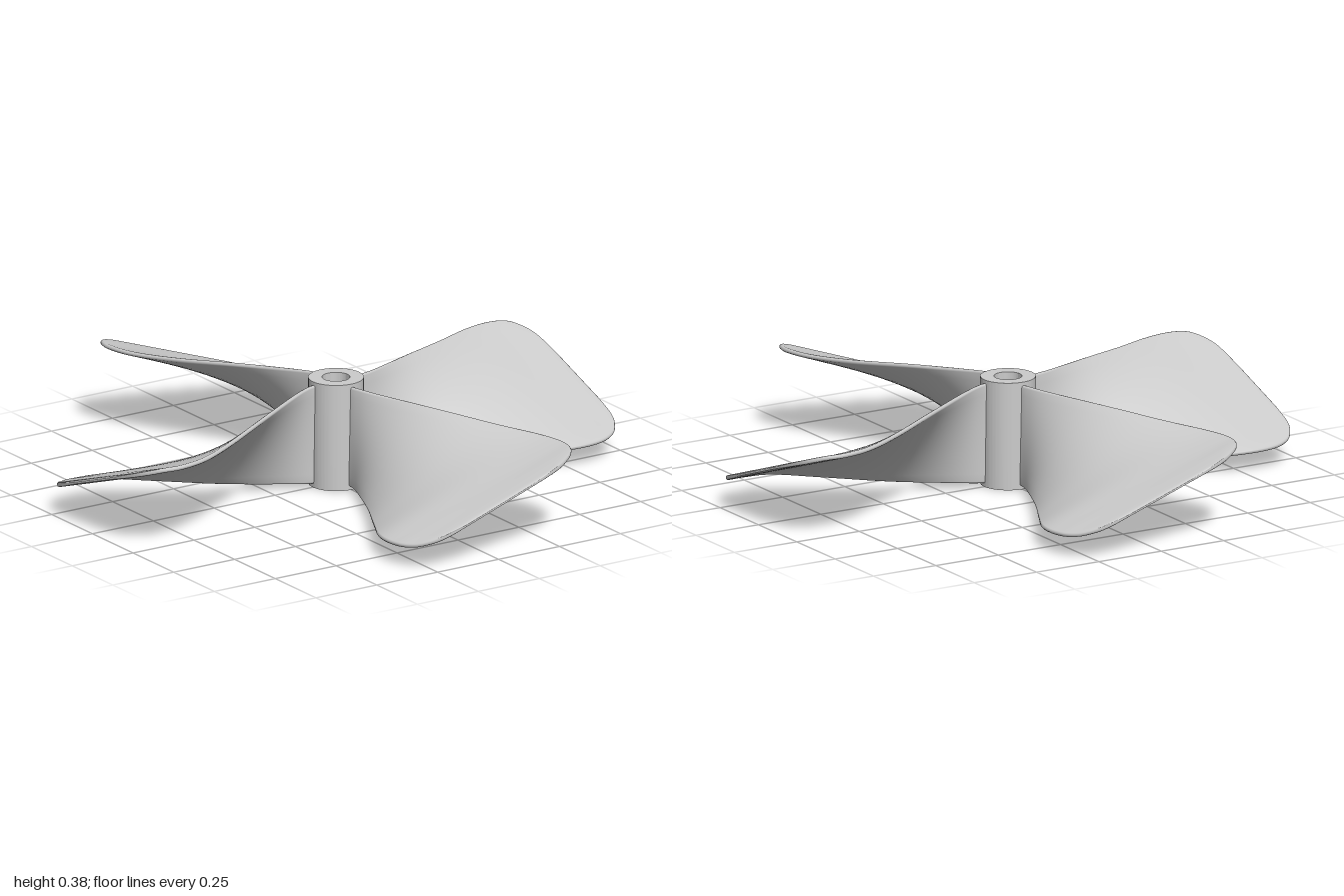
import * as THREE from 'three';
import { toCreasedNormals } from 'three/addons/utils/BufferGeometryUtils.js';

const HUB_R = 0.095, BORE_R = 0.048, HUB_H = 0.38;

// Blade sections: radius, low edge x/y, high edge x/y, half thickness
const SECTIONS = [
  [0.07, 0, 0.012, 0, 0.368, 0.008],
  [0.12, -0.008, 0.014, 0.012, 0.368, 0.008],
  [0.2, -0.04, 0.02, 0.047, 0.362, 0.008],
  [0.4, -0.135, 0.035, 0.155, 0.345, 0.008],
  [0.6, -0.245, 0.055, 0.262, 0.325, 0.008],
  [0.75, -0.322, 0.07, 0.335, 0.317, 0.008],
  [0.86, -0.33, 0.075, 0.36, 0.315, 0.008],
  [0.93, -0.305, 0.083, 0.345, 0.311, 0.008],
  [0.97, -0.262, 0.098, 0.3, 0.295, 0.008],
  [0.99, -0.21, 0.116, 0.24, 0.274, 0.007],
  [1.0, -0.12, 0.148, 0.12, 0.232, 0.003],
];

const curve = (fn) =>
  new THREE.CatmullRomCurve3(SECTIONS.map((s) => new THREE.Vector3(...fn(s))), false, 'catmullrom', 0.5);

// Counterclockwise ring around a flat section with rounded edges
function sectionRing(low, high, t) {
  const span = high.clone().sub(low);
  const angle = Math.atan2(span.y, span.x);
  const half = Math.max(span.length() / 2 - t, t);
  const mid = low.clone().add(high).multiplyScalar(0.5);
  const pts = [];
  for (const side of [1, -1]) {
    const local = [];
    for (let k = 0; k <= 4; k++) {
      const a = -Math.PI / 2 + (k / 4) * Math.PI;
      local.push([half + t * Math.cos(a), t * Math.sin(a)]);
    }
    for (let k = 1; k < 12; k++) local.push([half * (1 - k / 6), t]);
    for (const [u, v] of local) {
      pts.push(new THREE.Vector3(
        mid.x + side * (u * Math.cos(angle) - v * Math.sin(angle)),
        mid.y + side * (u * Math.sin(angle) + v * Math.cos(angle)),
        mid.z));
    }
  }
  return pts;
}

// Twisted blade pointing along +z
function bladeGeometry() {
  const lowEdge = curve((s) => [s[1], s[2], s[0]]);
  const highEdge = curve((s) => [s[3], s[4], s[0]]);
  const thickness = curve((s) => [s[5], 0, s[0]]);
  const steps = 80, pos = [], index = [];
  let n = 0;
  for (let i = 0; i <= steps; i++) {
    const f = i / steps;
    const ring = sectionRing(lowEdge.getPoint(f), highEdge.getPoint(f), thickness.getPoint(f).x);
    n = ring.length;
    ring.forEach((p) => pos.push(p.x, p.y, p.z));
  }
  for (let i = 0; i < steps; i++) {
    for (let j = 0; j < n; j++) {
      const a = i * n + j, b = i * n + ((j + 1) % n);
      index.push(a, b, b + n, a, b + n, a + n);
    }
  }
  // Tip cap
  const last = steps * n;
  for (let j = 1; j < n - 1; j++) index.push(last, last + j, last + j + 1);
  const geo = new THREE.BufferGeometry();
  geo.setAttribute('position', new THREE.Float32BufferAttribute(pos, 3));
  geo.setIndex(index);
  geo.computeVertexNormals();
  return geo;
}

// Bored hub standing on the ground
function hubGeometry() {
  const shape = new THREE.Shape().absarc(0, 0, HUB_R, 0, Math.PI * 2, false);
  shape.holes.push(new THREE.Path().absarc(0, 0, BORE_R, 0, Math.PI * 2, true));
  const geo = new THREE.ExtrudeGeometry(shape, { depth: HUB_H, bevelEnabled: false, curveSegments: 48 });
  geo.rotateX(-Math.PI / 2);
  return toCreasedNormals(geo, 0.6);
}

export function createModel() {
  const model = new THREE.Group();
  model.name = 'propeller';
  const material = new THREE.MeshStandardMaterial({ color: 0xcccccc });

  const hub = new THREE.Mesh(hubGeometry(), material);
  hub.name = 'hub';
  model.add(hub);

  const geo = bladeGeometry();
  ['frontBlade', 'leftBlade', 'backBlade', 'rightBlade'].forEach((name, i) => {
    const blade = new THREE.Mesh(geo, material);
    blade.name = name;
    blade.rotation.y = (i * Math.PI) / 2;
    model.add(blade);
  });
  return model;
}
